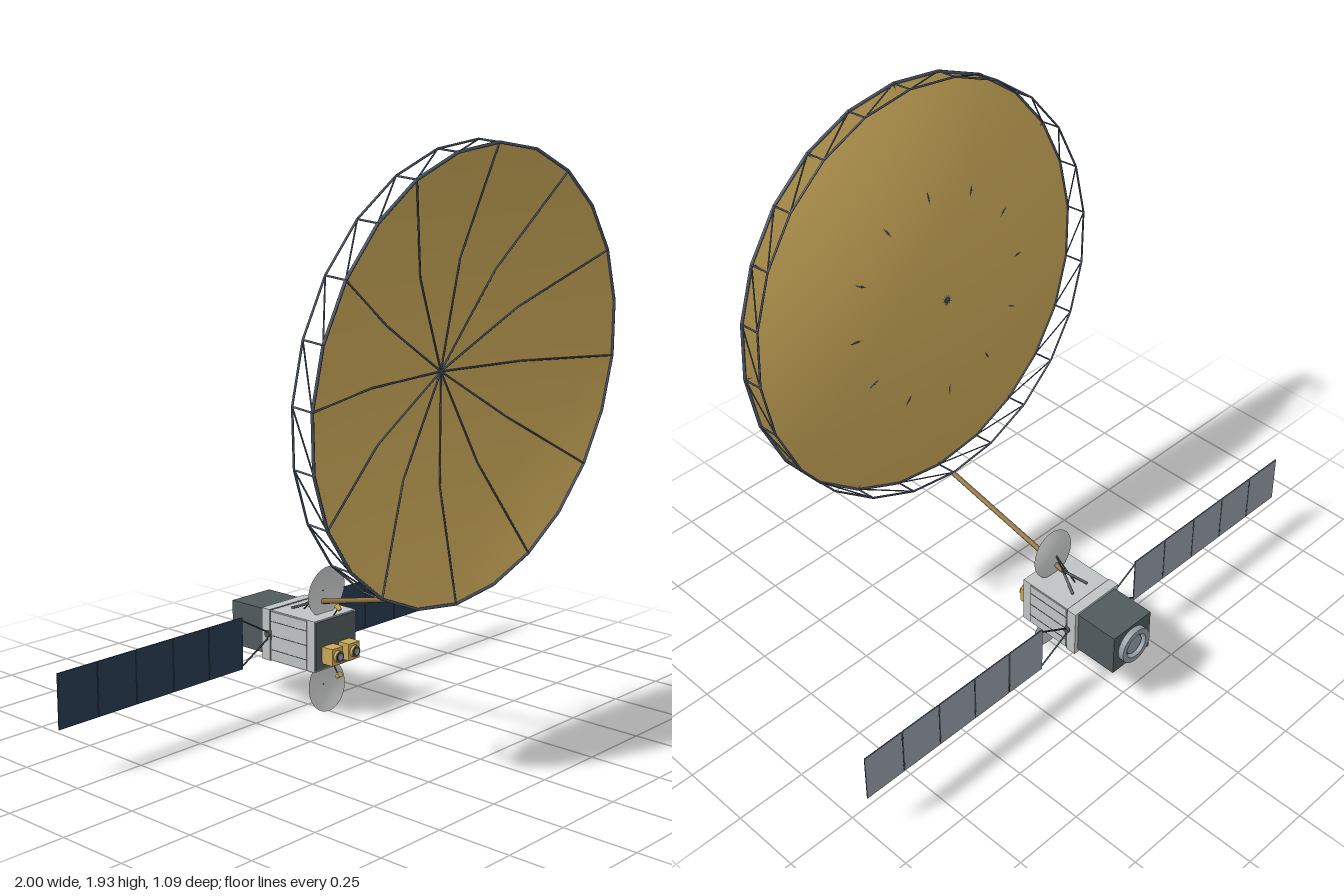
import * as THREE from 'three';
import { mergeGeometries } from 'three/addons/utils/BufferGeometryUtils.js';

const V = (x, y, z) => new THREE.Vector3(x, y, z);

function material(name, color, side = THREE.FrontSide) {
  const m = new THREE.MeshStandardMaterial({ color, side });
  m.name = name;
  return m;
}

function add(parent, name, geometry, mat, x = 0, y = 0, z = 0) {
  const mesh = new THREE.Mesh(geometry, mat);
  mesh.name = name;
  mesh.position.set(x, y, z);
  parent.add(mesh);
  return mesh;
}

const box = (w, h, d, x = 0, y = 0, z = 0) => new THREE.BoxGeometry(w, h, d).translate(x, y, z);

// Round bar between two points
function bar(a, b, r, sides = 6) {
  const dir = b.clone().sub(a);
  const g = new THREE.CylinderGeometry(r, r, dir.length(), sides);
  g.applyQuaternion(new THREE.Quaternion().setFromUnitVectors(V(0, 1, 0), dir.normalize()));
  const mid = a.clone().add(b).multiplyScalar(0.5);
  return g.translate(mid.x, mid.y, mid.z);
}

// Parabolic bowl with its vertex at z = -depth, rim at z = 0, opening to +z
function bowl(radius, depth, rings, sides) {
  const pts = [];
  for (let i = 0; i <= rings; i++) {
    const t = i / rings;
    pts.push(new THREE.Vector2(Math.max(radius * t, 1e-5), depth * (t * t - 1)));
  }
  return new THREE.LatheGeometry(pts, sides).rotateX(Math.PI / 2);
}

export function createModel() {
  const model = new THREE.Group();
  model.name = 'satellite';

  const gold = material('gold mesh', 0xcaa858, THREE.DoubleSide);
  const brown = material('boom brown', 0x8a6c36);
  const slate = material('slate blue', 0x4b566a);
  const dark = material('dark truss', 0x39424d);
  const light = material('light grey', 0xbfc3c4);
  const charcoal = material('charcoal', 0x505a5d);
  const navy = material('solar navy', 0x293a50);
  const panelGrey = material('panel back grey', 0x929ca4);
  const white = material('antenna white', 0xcccecd, THREE.DoubleSide);

  // Main reflector, leaning forward at the top
  const R = 0.718, DEPTH = 0.143, TRUSS = 0.077, N = 24;
  const reflector = new THREE.Group();
  reflector.name = 'mainReflector';
  reflector.position.set(0, 1.199, 0.4675);
  reflector.rotation.x = 0.101;
  model.add(reflector);
  add(reflector, 'reflectorDish', bowl(R, DEPTH, 16, N), gold);

  // Twelve ribs, each of two straight segments
  const onDish = (t, a) => V(R * t * Math.sin(a), R * t * Math.cos(a), DEPTH * (t * t - 1) + 0.001);
  const ribs = [];
  for (let i = 0; i < 12; i++) {
    const a = (i * Math.PI) / 6;
    ribs.push(bar(onDish(0, a), onDish(0.5, a), 0.003), bar(onDish(0.5, a), onDish(1, a), 0.003));
  }
  add(reflector, 'reflectorRibs', mergeGeometries(ribs), slate);

  // Perimeter truss: two rings, uprights and diagonals
  const rim = (i, z) => V(R * Math.sin((i * 2 * Math.PI) / N), R * Math.cos((i * 2 * Math.PI) / N), z);
  const rings = [], braces = [];
  for (let i = 0; i < N; i++) {
    rings.push(bar(rim(i, 0), rim(i + 1, 0), 0.005));
    rings.push(bar(rim(i, -TRUSS), rim(i + 1, -TRUSS), 0.0035));
    braces.push(bar(rim(i, 0), rim(i, -TRUSS), 0.003));
    braces.push(bar(rim(i, 0), rim(i + 1, -TRUSS), 0.0025));
  }
  add(reflector, 'trussRings', mergeGeometries(rings), slate);
  add(reflector, 'trussBraces', mergeGeometries(braces), slate);

  // Boom from the bus to the bottom of the truss
  add(model, 'boom', bar(V(0, 0.372, -0.21), V(0, 0.487, 0.318), 0.009, 8), brown);
  add(model, 'boomFeet', mergeGeometries([-1, 1].map(
    s => bar(V(0, 0.372, -0.21), V(s * 0.036, 0.342, -0.29), 0.005))), charcoal);

  // Bus
  const bus = new THREE.Group();
  bus.name = 'bus';
  bus.position.y = 0.2525;
  model.add(bus);
  add(bus, 'busBody', box(0.2, 0.176, 0.205), light, 0, 0, -0.2255);
  add(bus, 'busRearBand', box(0.208, 0.18, 0.037), light, 0, 0, -0.3475);
  add(bus, 'busSeam', box(0.202, 0.178, 0.004), charcoal, 0, 0, -0.327);
  add(bus, 'frontPanel', box(0.19, 0.166, 0.004), charcoal, 0, 0, -0.122);
  add(bus, 'serviceModule', box(0.178, 0.156, 0.16), charcoal, 0, 0.003, -0.445);
  add(bus, 'sidePanels', mergeGeometries([-1, 1].map(
    s => box(0.006, 0.168, 0.165, s * 0.1, 0, -0.24))), light);
  const seams = [];
  for (const s of [-1, 1]) {
    for (const y of [-0.05, 0, 0.05]) seams.push(box(0.003, 0.0025, 0.165, s * 0.1025, y, -0.24));
  }
  for (const x of [-0.06, 0, 0.06]) seams.push(box(0.0025, 0.003, 0.165, x, -0.0875, -0.24));
  add(bus, 'panelSeams', mergeGeometries(seams), charcoal);

  // Docking ring at the back
  const ringProfile = [[0.046, 0], [0.066, 0], [0.066, 0.022], [0.046, 0.022], [0.046, 0]]
    .map(p => new THREE.Vector2(...p));
  add(bus, 'adapterRing', new THREE.LatheGeometry(ringProfile, 32).rotateX(Math.PI / 2).toNonIndexed(),
    panelGrey, 0, 0.003, -0.546).geometry.computeVertexNormals();
  add(bus, 'adapterCore', new THREE.CylinderGeometry(0.036, 0.036, 0.012, 24).rotateX(Math.PI / 2),
    panelGrey, 0, 0.003, -0.53);

  // Feed boxes on the front
  for (const s of [-1, 1]) {
    add(bus, 'feedBox', box(0.053, 0.058, 0.05), gold, s * 0.04, -0.034, -0.099);
    add(bus, 'feedCollar', new THREE.CylinderGeometry(0.02, 0.02, 0.012, 20).rotateX(Math.PI / 2),
      gold, s * 0.04, -0.034, -0.07);
    add(bus, 'feedAperture', new THREE.CylinderGeometry(0.017, 0.017, 0.003, 20).rotateX(Math.PI / 2),
      dark, s * 0.04, -0.034, -0.064);
    add(bus, 'feedHorn', new THREE.CylinderGeometry(0.011, 0.011, 0.003, 20).rotateX(Math.PI / 2),
      panelGrey, s * 0.04, -0.034, -0.0625);
  }

  // Small antennas above and below the bus
  for (const s of [1, -1]) {
    const antenna = new THREE.Group();
    antenna.name = s > 0 ? 'upperAntenna' : 'lowerAntenna';
    bus.add(antenna);
    const dish = add(antenna, 'antennaDish', bowl(0.088, 0.016, 6, 32), white, 0, s * 0.166, -0.162);
    dish.rotation.x = s * 0.11;
    const back = V(0, s * 0.166, -0.178);
    const struts = [-1, 1].map(k => bar(back, V(k * 0.012, s * 0.088, -0.255), 0.0025));
    struts.push(bar(V(0, s * 0.086, -0.13), V(0, s * 0.118, -0.108), 0.0025));
    add(antenna, 'antennaStruts', mergeGeometries(struts), charcoal);
    const horn = add(antenna, 'antennaFeed', new THREE.CylinderGeometry(0.01, 0.007, 0.02, 12),
      gold, 0, s * 0.118, -0.108);
    horn.rotation.x = -s * 0.9;
  }

  // Solar wings: yoke plus five panels with navy fronts and grey backs
  const Z = -0.333, PITCH = 0.1548, W = 0.1525, H = 0.18;
  for (const s of [1, -1]) {
    const wing = new THREE.Group();
    wing.name = s > 0 ? 'leftSolarWing' : 'rightSolarWing';
    bus.add(wing);
    add(wing, 'wingHinge', new THREE.CylinderGeometry(0.011, 0.011, 0.014, 16).rotateZ(Math.PI / 2),
      charcoal, s * 0.108, 0.005, Z);
    const yoke = [1, -1].map(k => bar(V(s * 0.112, k * 0.013, Z), V(s * 0.227, k * 0.078, Z), 0.003));
    yoke.push(bar(V(s * 0.112, -0.013, Z), V(s * 0.112, 0.013, Z), 0.003));
    add(wing, 'wingYoke', mergeGeometries(yoke), dark);
    const core = [], front = [], back = [], pins = [];
    for (let i = 0; i < 5; i++) {
      const x = s * (0.2275 + W / 2 + i * PITCH);
      core.push(box(W, H, 0.003, x, 0, Z));
      front.push(box(W - 0.002, H - 0.002, 0.001, x, 0, Z + 0.0018));
      back.push(box(W - 0.001, H - 0.001, 0.001, x, 0, Z - 0.0018));
      // Hinges between neighbouring panels
      if (i) for (const k of [-1, 1]) {
        pins.push(box(0.009, 0.007, 0.002, x - (s * PITCH) / 2, k * 0.06, Z - 0.002));
      }
    }
    add(wing, 'panelCores', mergeGeometries(core), navy);
    add(wing, 'solarCells', mergeGeometries(front), navy);
    add(wing, 'panelBacks', mergeGeometries(back), panelGrey);
    add(wing, 'panelHinges', mergeGeometries(pins), dark);
  }

  return model;
}
